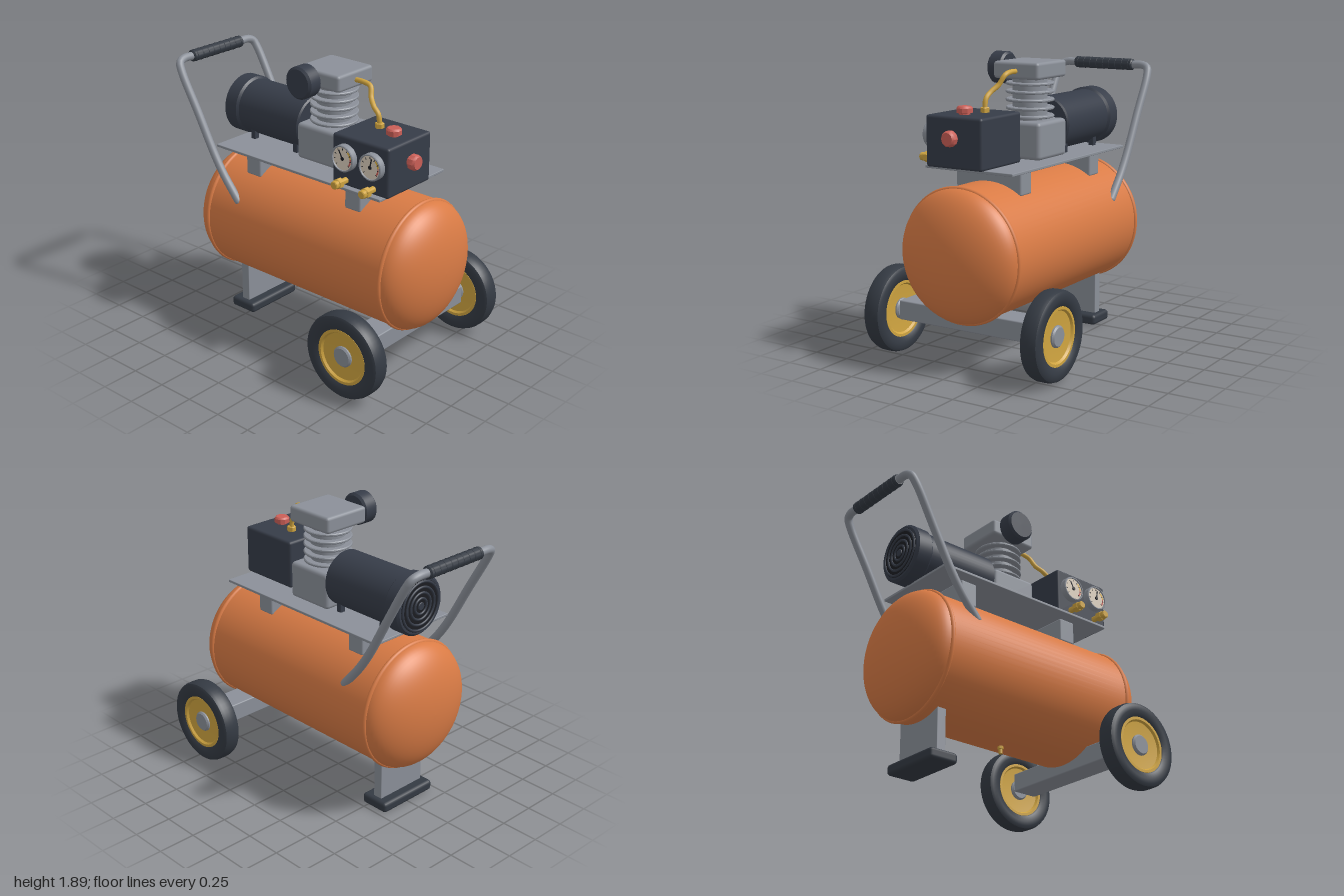
import * as THREE from 'three';
import { toCreasedNormals } from 'three/addons/utils/BufferGeometryUtils.js';
import { RoundedBoxGeometry } from 'three/addons/geometries/RoundedBoxGeometry.js';

const mat = (name, color) => {
  const m = new THREE.MeshStandardMaterial({ color });
  m.name = name;
  return m;
};

export function createModel() {
  const root = new THREE.Group();
  root.name = 'airCompressor';
  const orange = mat('orange paint', 0xd97b45), steel = mat('grey steel', 0x8b9099);
  const dark = mat('dark casing', 0x363c48), rubber = mat('rubber', 0x343a43);
  const brass = mat('brass', 0xcfa440), red = mat('red knob', 0xcb5f57);
  const cream = mat('dial face', 0xdccfbd), black = mat('black', 0x1b1d22);
  const yellow = mat('dial yellow', 0xe0b13a);

  const add = (name, geo, m, x = 0, y = 0, z = 0, parent = root) => {
    const mesh = new THREE.Mesh(geo, m);
    mesh.name = name;
    mesh.position.set(x, y, z);
    parent.add(mesh);
    return mesh;
  };
  // Rounded box given by its limits on each axis
  const box = (name, m, [x0, x1], [y0, y1], [z0, z1], r = 0.01) =>
    add(name, new RoundedBoxGeometry(x1 - x0, y1 - y0, z1 - z0, 2, r), m,
      (x0 + x1) / 2, (y0 + y1) / 2, (z0 + z1) / 2);
  // Turned part from [radius, distance along axis] points
  const turned = (pts, axis = 'y', sides = 40, crease = 0.6) => {
    let g = new THREE.LatheGeometry(pts.map(p => new THREE.Vector2(...p)), sides);
    if (crease) g = toCreasedNormals(g, crease);
    if (axis === 'x') g.rotateZ(-Math.PI / 2);
    if (axis === 'z') g.rotateX(Math.PI / 2);
    return g;
  };
  // Solid disc or drum with bevelled rims, from a to b along its axis
  const drum = (r, a, b, axis, bev = 0.006, sides = 40) =>
    turned([[0, a], [r - bev, a], [r, a + bev], [r, b - bev], [r - bev, b], [0, b]], axis, sides);

  // Tank with domed ends and weld beads
  const tankY = 0.718, tankR = 0.418, x0 = -0.66, x1 = 0.8, n = 18;
  const profile = [];
  for (let i = 0; i <= n; i++) {
    const t = i / n * Math.PI / 2;
    profile.push([tankR * Math.sin(t), x0 - 0.203 * Math.cos(t)]);
  }
  for (let i = n; i >= 0; i--) {
    const t = i / n * Math.PI / 2;
    profile.push([tankR * Math.sin(t), x1 + 0.198 * Math.cos(t)]);
  }
  add('tank', turned(profile, 'x', 72, 0), orange, 0, tankY);
  for (const x of [x0, x1])
    add('weldBead', new THREE.TorusGeometry(tankR - 0.004, 0.016, 10, 72).rotateY(Math.PI / 2), orange, x, tankY);
  add('drainValve', drum(0.013, 0.25, 0.32, 'y', 0.003, 12), brass, 0.06);
  add('drainNut', drum(0.02, 0.28, 0.305, 'y', 0.003, 6), brass, 0.06);

  // Front leg, foot and wheel beam
  box('leg', steel, [-0.59, -0.525], [0.05, 0.4], [-0.185, 0.185], 0.004);
  box('foot', rubber, [-0.66, -0.455], [0, 0.07], [-0.22, 0.22], 0.022);
  box('axleBeam', steel, [0.6, 0.785], [0.245, 0.37], [-0.49, 0.49], 0.008);
  add('axle', drum(0.025, -0.6, 0.6, 'z', 0.004, 20), steel, 0.69, 0.288);

  // Wheels
  for (const s of [1, -1]) {
    const wheel = new THREE.Group();
    wheel.name = s > 0 ? 'leftWheel' : 'rightWheel';
    wheel.position.set(0.69, 0.288, s * 0.576);
    root.add(wheel);
    add('tyre', turned([[0.18, -0.045], [0.19, -0.055], [0.225, -0.062], [0.255, -0.062], [0.272, -0.052],
      [0.279, -0.032], [0.28, 0], [0.279, 0.032], [0.272, 0.052], [0.255, 0.062], [0.225, 0.062],
      [0.19, 0.055], [0.18, 0.045], [0.18, -0.045]], 'z', 56), rubber, 0, 0, 0, wheel);
    add('rim', turned([[0, -0.03], [0.09, -0.03], [0.155, -0.036], [0.165, -0.05], [0.183, -0.05],
      [0.183, 0.05], [0.165, 0.05], [0.155, 0.036], [0.09, 0.03], [0, 0.03]], 'z', 48), brass, 0, 0, 0, wheel);
    add('hub', drum(0.068, -0.05, 0.05, 'z', 0.01, 32), steel, 0, 0, 0, wheel);
  }

  // Deck and its brackets
  box('deck', steel, [-0.655, 0.72], [1.22, 1.238], [-0.32, 0.32], 0.004);
  for (const x of [-0.4, 0.442])
    box('deckBracket', steel, [x - 0.062, x + 0.062], [1.06, 1.222], [-0.24, 0.24], 0.012);

  // Motor with fan cover and ringed grille
  const my = 1.425, mz = -0.037;
  add('motorBody', drum(0.179, -0.66, -0.1, 'x', 0.01, 48), dark, 0, my, mz);
  add('fanCover', drum(0.193, -0.745, -0.62, 'x', 0.014, 48), dark, 0, my, mz);
  add('grilleBack', drum(0.165, -0.748, -0.74, 'x', 0.001, 40), black, 0, my, mz);
  for (const r of [0.05, 0.085, 0.12, 0.155])
    add('grilleRing', new THREE.TorusGeometry(r, 0.008, 8, 40).rotateY(Math.PI / 2), dark, -0.748, my, mz);
  add('grilleHub', drum(0.025, -0.756, -0.74, 'x', 0.003, 20), dark, 0, my, mz);
  for (const x of [-0.545, -0.17])
    for (const z of [-0.14, 0.07])
      box('motorFoot', dark, [x - 0.019, x + 0.019], [1.235, 1.32], [z - 0.02, z + 0.02], 0.006);

  // Pump: crankcase, finned cylinder and head
  const px = 0.065, pz = -0.028;
  box('crankcase', steel, [-0.105, 0.232], [1.236, 1.475], [-0.2, 0.142], 0.025);
  add('pumpCylinder', drum(0.112, 1.46, 1.76, 'y'), steel, px, 0, pz);
  for (let i = 0; i < 5; i++)
    add('coolingFin', drum(0.155, -0.009, 0.009, 'y', 0.005, 48), steel, px, 1.497 + i * 0.052, pz);
  box('cylinderHead', steel, [-0.11, 0.24], [1.74, 1.848], [-0.195, 0.138], 0.02);
  add('filterNeck', drum(0.042, 0.12, 0.17, 'z', 0.003, 24), dark, 0.02, 1.79);
  add('airFilter', drum(0.104, 0.155, 0.268, 'z', 0.014, 40), dark, 0.02, 1.79);

  // Discharge pipe
  const pipe = new THREE.CatmullRomCurve3([[0.22, 1.79, -0.03], [0.3, 1.79, -0.03], [0.355, 1.775, -0.028],
    [0.385, 1.715, 0], [0.43, 1.675, 0.028], [0.472, 1.635, 0.035], [0.482, 1.54, 0.035]]
    .map(p => new THREE.Vector3(...p)));
  add('dischargePipe', new THREE.TubeGeometry(pipe, 48, 0.016, 12), brass);
  add('pipeNut', drum(0.03, 1.55, 1.587, 'y', 0.004, 6), brass, 0.482, 0, 0.035);

  // Control box with knobs
  box('controlBox', dark, [0.32, 0.755], [1.235, 1.555], [-0.125, 0.287], 0.018);
  const knob = [[0, 0], [0.034, 0], [0.034, 0.012], [0.05, 0.016], [0.05, 0.044], [0.04, 0.056], [0, 0.056]];
  add('topKnob', turned(knob, 'y', 10), red, 0.63, 1.55, 0.083);
  const side = knob.map(([r, d]) => [r, d * 1.2]);
  add('sideKnob', turned(side, 'x', 10), red, 0.753, 1.425, 0.083);

  // Gauges and outlet fittings
  for (const [x, lean] of [[0.432, 0.5], [0.645, -0.2]]) {
    const gauge = new THREE.Group();
    gauge.name = 'gauge';
    gauge.position.set(x, 1.425, 0.285);
    root.add(gauge);
    add('gaugeCase', turned([[0, 0], [0.085, 0], [0.085, 0.04], [0.081, 0.045], [0.075, 0.045],
      [0.074, 0.034], [0, 0.034]], 'z', 40), steel, 0, 0, 0, gauge);
    add('dial', new THREE.CircleGeometry(0.0745, 40), cream, 0, 0, 0.036, gauge);
    const arc = (name, m, a, len) =>
      add(name, new THREE.RingGeometry(0.055, 0.066, 16, 1, a, len), m, 0, 0, 0.0375, gauge);
    arc('yellowZone', yellow, 0.15, 0.75);
    arc('redZone', red, -0.7, 0.85);
    for (let i = 0; i < 9; i++) {
      const a = -0.7 + i * 0.57;
      const tick = add('tick', new THREE.BoxGeometry(0.012, 0.004, 0.002), black,
        0.06 * Math.cos(a), 0.06 * Math.sin(a), 0.038, gauge);
      tick.rotation.z = a;
    }
    const needle = add('needle', new THREE.BoxGeometry(0.008, 0.068, 0.003).translate(0, 0.024, 0),
      black, 0, 0, 0.0395, gauge);
    needle.rotation.z = lean;
    add('needleHub', drum(0.012, 0.036, 0.043, 'z', 0.001, 16), black, 0, 0, 0, gauge);
    add('outletStem', drum(0.02, 0.27, 0.36, 'z', 0.003, 16), brass, x, 1.275);
    add('outletCollar', drum(0.034, 0.335, 0.375, 'z', 0.004, 6), brass, x, 1.275);
    add('outletTip', drum(0.026, 0.37, 0.405, 'z', 0.005, 16), brass, x, 1.275);
  }

  // Handle: one bent tube with a grip on the crossbar
  const half = [[-0.43, 0.905, 0.355], [-0.49, 0.975, 0.355], [-0.56, 1.06, 0.355], [-0.64, 1.18, 0.355],
    [-0.78, 1.435, 0.355], [-0.92, 1.685, 0.355], [-0.95, 1.738, 0.34], [-0.96, 1.755, 0.3], [-0.96, 1.755, 0.2]];
  const path = [...half, ...half.slice().reverse().map(([x, y, z]) => [x, y, -z])];
  const curve = new THREE.CatmullRomCurve3(path.map(p => new THREE.Vector3(...p)));
  add('handle', new THREE.TubeGeometry(curve, 140, 0.027, 16), steel);
  for (const s of [1, -1])
    add('handleEnd', new THREE.SphereGeometry(0.027, 16, 10), steel, -0.43, 0.905, s * 0.355);
  add('grip', drum(0.039, -0.228, 0.228, 'z', 0.008, 24), rubber, -0.96, 1.755);
  for (let i = 0; i < 9; i++)
    add('gripRib', new THREE.TorusGeometry(0.037, 0.004, 6, 24), rubber, -0.96, 1.755, -0.2 + i * 0.05);

  return root;
}
